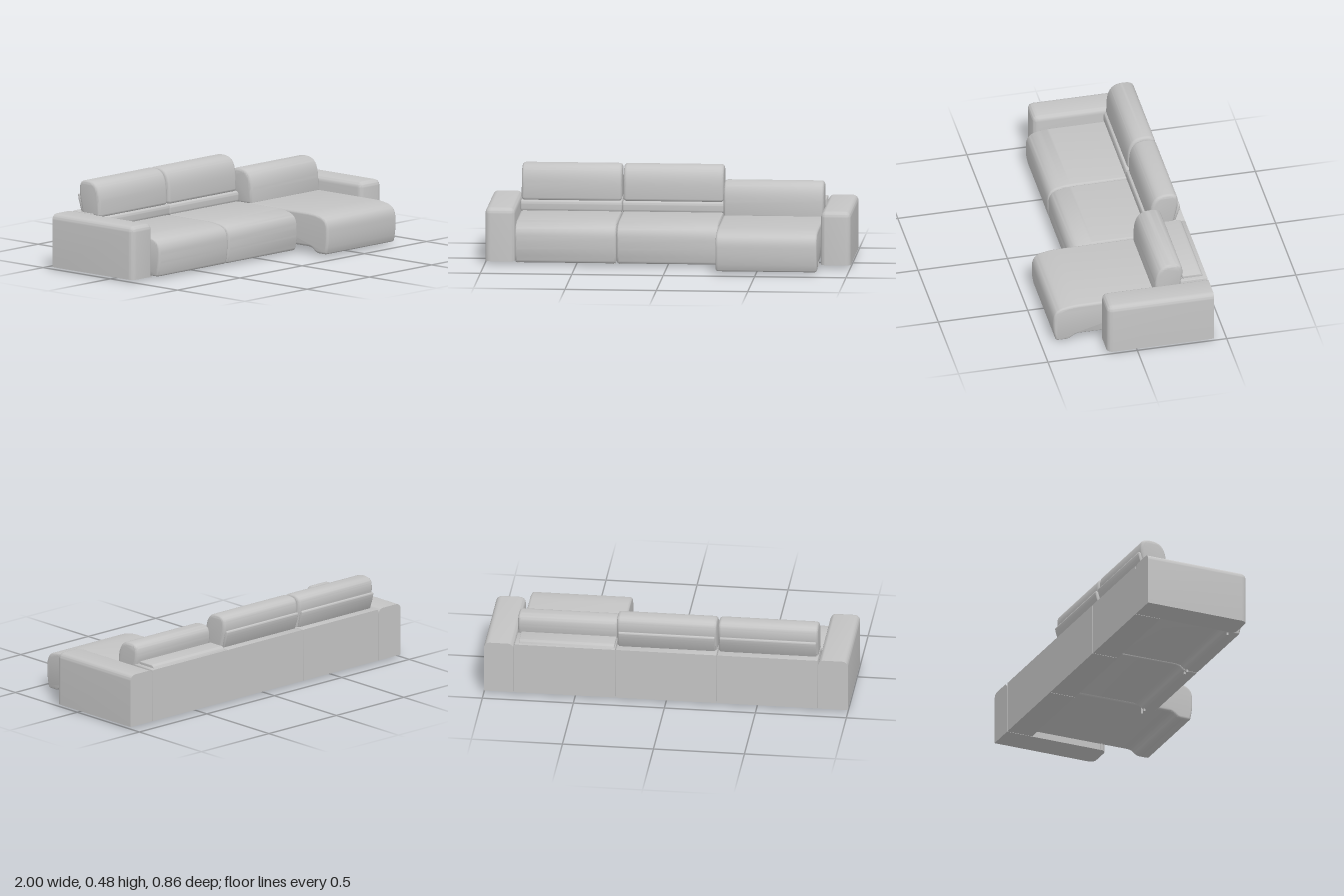
import * as THREE from 'three';
import { toCreasedNormals } from 'three/addons/utils/BufferGeometryUtils.js';
import { RoundedBoxGeometry } from 'three/addons/geometries/RoundedBoxGeometry.js';

const BACK = -0.43, FLOOR = 0.012;

// closed outline from [z, y, cornerRadius] points
function roundedOutline(points) {
  const shape = new THREE.Shape();
  const n = points.length;
  points.forEach(([z, y, r], i) => {
    const here = new THREE.Vector2(z, y);
    const toward = (p) => {
      const d = new THREE.Vector2(p[0], p[1]).sub(here);
      return d.setLength(Math.min(r, d.length() * 0.49)).add(here);
    };
    const a = toward(points[(i + n - 1) % n]);
    const b = toward(points[(i + 1) % n]);
    if (i === 0) shape.moveTo(a.x, a.y); else shape.lineTo(a.x, a.y);
    shape.quadraticCurveTo(z, y, b.x, b.y);
  });
  shape.closePath();
  return shape;
}

// side outline drawn out across the width, from x0 to x1, with soft ends
function crossPiece(points, x0, x1, soft) {
  const geometry = new THREE.ExtrudeGeometry(roundedOutline(points), {
    depth: x1 - x0 - 2 * soft, curveSegments: 8,
    bevelEnabled: true, bevelThickness: soft, bevelSize: soft, bevelOffset: -soft, bevelSegments: 4,
  });
  geometry.rotateY(-Math.PI / 2);
  geometry.translate(x1 - soft, 0, 0);
  return toCreasedNormals(geometry, 0.7);
}

// box with soft top and front, cut flat at the back and the floor
function softBlock(x0, x1, y1, z1, r) {
  const y0 = FLOOR - r, z0 = BACK - r;
  const geometry = new RoundedBoxGeometry(x1 - x0, y1 - y0, z1 - z0, 4, r);
  geometry.translate((x0 + x1) / 2, (y0 + y1) / 2, (z0 + z1) / 2);
  const p = geometry.attributes.position;
  for (let i = 0; i < p.count; i++) {
    p.setY(i, Math.max(p.getY(i), FLOOR));
    p.setZ(i, Math.max(p.getZ(i), BACK));
  }
  return toCreasedNormals(geometry, 0.7);
}

// seat with a rolled front edge and a lip reaching down to the floor
const seatOutline = (f) => [
  [f - 0.015, 0.012, 0.015], [f, 0.09, 0.05], [f - 0.005, 0.205, 0.06], [f - 0.1, 0.231, 0.06],
  [-0.29, 0.231, 0.01], [-0.29, 0.04, 0.01], [f - 0.125, 0.042, 0.025], [f - 0.09, 0.012, 0.02],
];

// plump back cushion, movable forward and down
const cushionOutline = (dz, dy) => [
  [-0.236, 0.285, 0.02], [-0.24, 0.42, 0.06], [-0.282, 0.48, 0.05],
  [-0.384, 0.48, 0.045], [-0.398, 0.42, 0.04], [-0.368, 0.285, 0.02],
].map(([z, y, r]) => [z + dz, y + dy, r]);

export function createModel() {
  const upholstery = new THREE.MeshStandardMaterial({ color: 0xc4c4c4 });
  upholstery.name = 'grey upholstery';
  const sofa = new THREE.Group();
  sofa.name = 'sofa';
  const add = (parent, name, geometry) => {
    const mesh = new THREE.Mesh(geometry, upholstery);
    mesh.name = name;
    parent.add(mesh);
    return mesh;
  };

  // armrests
  add(sofa, 'leftArm', softBlock(0.837, 1, 0.306, 0.166, 0.032));
  add(sofa, 'rightArm', softBlock(-1, -0.837, 0.306, 0.166, 0.032));

  // three modules: the last one is slid out as a chaise
  const modules = [
    { name: 'rightModule', x0: -0.834, x1: -0.28, front: 0.213 },
    { name: 'middleModule', x0: -0.277, x1: 0.277, front: 0.213 },
    { name: 'chaiseModule', x0: 0.28, x1: 0.834, front: 0.432, chaise: true },
  ];
  for (const { name, x0, x1, front, chaise } of modules) {
    const group = new THREE.Group();
    group.name = name;
    sofa.add(group);

    add(group, 'backFrame', softBlock(x0, x1, 0.303, -0.28, 0.006));
    add(group, 'seat', crossPiece(seatOutline(front), x0, x1, 0.014));

    if (chaise) {
      // cushion moved forward, support pad folded flat on the back
      add(group, 'backCushion', crossPiece(cushionOutline(0.1, -0.067), x0 + 0.002, x1 - 0.004, 0.018));
      add(group, 'supportPad', crossPiece([
        [-0.295, 0.3, 0.005], [-0.295, 0.319, 0.008], [-0.4, 0.319, 0.012], [-0.412, 0.3, 0.005],
      ], x0 + 0.006, x1 - 0.024, 0.005));
    } else {
      add(group, 'backCushion', crossPiece(cushionOutline(0, 0), x0 + 0.004, x1 - 0.002, 0.018));
      // lumbar roll under the cushion
      add(group, 'lumbarRoll', crossPiece([
        [-0.226, 0.226, 0.015], [-0.224, 0.286, 0.02], [-0.36, 0.292, 0.01], [-0.36, 0.226, 0.01],
      ], x0, x1, 0.008));
      // support pad tilted up behind the cushion
      add(group, 'supportPad', crossPiece([
        [-0.362, 0.3, 0.005], [-0.392, 0.4, 0.012], [-0.408, 0.398, 0.01], [-0.404, 0.37, 0.02], [-0.38, 0.3, 0.005],
      ], x0 + 0.012, x1 - 0.012, 0.005));
    }

    // small feet
    for (const x of [x0 + 0.015, x1 - 0.015]) {
      const foot = add(group, 'foot', new THREE.CylinderGeometry(0.006, 0.006, 0.045, 12));
      foot.position.set(x, 0.0225, 0.13);
    }
  }
  return sofa;
}
